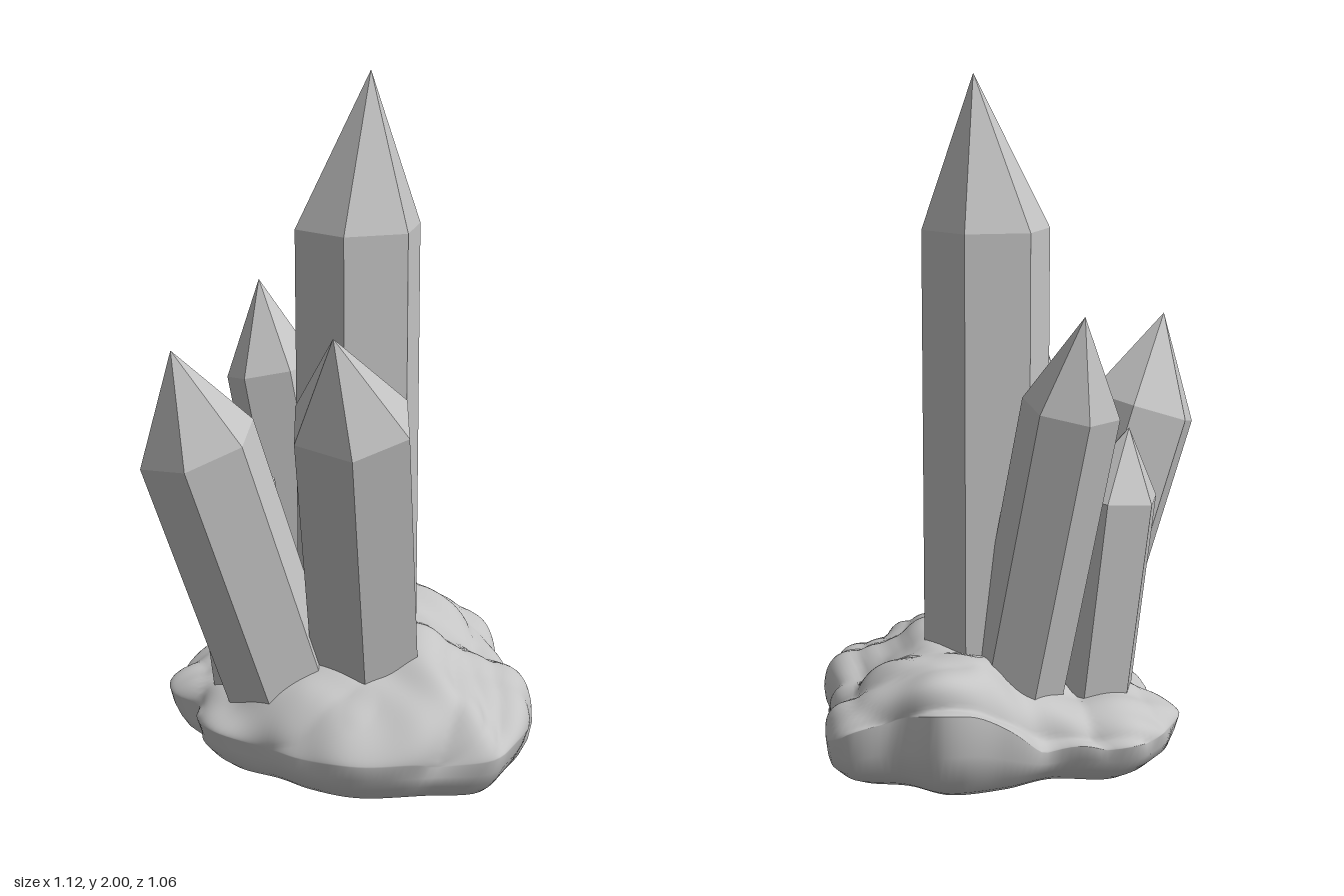
import * as THREE from 'three';

const V = (x, y, z) => new THREE.Vector3(x, y, z);
const { smoothstep, degToRad } = THREE.MathUtils;

// Six-sided crystal: base centre, shoulder centre, tip, radius, angle of first corner (degrees), base taper
function crystal(name, base, shoulder, tip, r, turn, taper, material) {
  const b = V(...base), s = V(...shoulder), t = V(...tip);
  const axis = s.clone().sub(b);
  axis.divideScalar(axis.y);
  const ring = (c, radius) => Array.from({ length: 6 }, (_, i) => {
    const a = degToRad(turn + i * 60);
    const x = radius * Math.cos(a), z = radius * Math.sin(a);
    return V(c.x + x, c.y - x * axis.x - z * axis.z, c.z + z); // square to the axis
  });
  const low = ring(b, r * taper), high = ring(s, r);
  const points = [];
  for (let i = 0; i < 6; i++) {
    const n = (i + 1) % 6;
    points.push(low[i], high[i], low[n], high[i], high[n], low[n], high[i], t, high[n]);
  }
  const geometry = new THREE.BufferGeometry().setFromPoints(points);
  geometry.computeVertexNormals();
  const mesh = new THREE.Mesh(geometry, material);
  mesh.name = name;
  return mesh;
}

// Height of the rock's upper surface: low on one side, a hump at the back and a cleft beside it
function rockHeight(x, z) {
  const hump = (px, pz, w) => Math.exp(-((x - px) ** 2 + (z - pz) ** 2) / (w * w));
  const drop = 1 - smoothstep(x, -0.32, -0.06);
  return 0.345 - 0.105 * drop + 0.07 * hump(0.03, -0.38, 0.18) + 0.04 * hump(0.18, 0.05, 0.12)
    - 0.03 * hump(0.42, 0.1, 0.15) - 0.05 * hump(0.34, -0.2, 0.1);
}

// Broad lumps with creases between them, plus finer chips
function lumps(x, y, z) {
  const a = Math.abs(Math.sin(6 * x + 5 * z + 2 * Math.sin(6 * z + 9 * y)));
  const b = Math.abs(Math.sin(7 * z - 6 * x + 12 * y + 1.5 * Math.sin(8 * x)));
  const c = Math.sin(21 * x + 9 * y + 2 * Math.sin(11 * z)) * Math.sin(19 * z + 15 * y + 2);
  return 0.5 * a + 0.4 * b + 0.2 * c - 0.57;
}

function rock(material) {
  const outline = new THREE.CatmullRomCurve3([
    [0.56, 0.08], [0.535, 0.2], [0.49, 0.35], [0.33, 0.415], [0.12, 0.49], [-0.04, 0.47],
    [-0.16, 0.42], [-0.31, 0.38], [-0.41, 0.29], [-0.45, 0.19], [-0.53, 0.15], [-0.56, 0],
    [-0.5, -0.2], [-0.31, -0.28], [-0.2, -0.42], [-0.05, -0.53], [0.1, -0.505], [0.25, -0.53],
    [0.33, -0.47], [0.38, -0.33], [0.44, -0.2], [0.53, -0.06],
  ].map(([x, z]) => V(x, 0, z)), true);
  const count = 160;
  const edge = outline.getSpacedPoints(count).slice(0, count);
  const foot = edge.map((p) => V(p.x * 0.82 + 0.02, 0.004, p.z * 0.75 + 0.03));
  const positions = [], index = [];

  // Undercut sides from foot to rim, then the domed top closing in on the middle
  const rings = [[0, 0.004], [0.3, 0.016], [0.55, 0.035], [0.8, 0.065], [0.95, 0.1], [1, 0.14]];
  const sides = rings.length, topRings = 34;
  for (let j = 1; j <= topRings; j++) rings.push([Math.cos((j / topRings) * Math.PI / 2), 0.14]);
  rings.forEach(([f, y0], j) => edge.forEach((p, i) => {
    const top = j >= sides;
    const q = top ? p.clone().multiplyScalar(f) : foot[i].clone().lerp(p, f);
    const back = smoothstep(-p.z, 0.3, 0.5) * smoothstep(-p.x, -0.4, 0);
    q.y = y0 + 0.15 * back * Math.min(1, j / (sides - 1)) ** 4; // rim rises at the back
    if (top) q.y += (rockHeight(q.x, q.z) - q.y) * Math.pow(1 - f ** 3, 0.7);
    const n = lumps(q.x, q.y, q.z) * Math.min(1, j / 3);
    const push = 1 + 0.07 * n * f;
    positions.push(q.x * push, q.y + 0.035 * n * Math.min(1, q.y / 0.15), q.z * push);
  }));
  for (let j = 0; j < rings.length - 1; j++) {
    for (let i = 0; i < count; i++) {
      const a = j * count + i, b = j * count + (i + 1) % count;
      index.push(a, a + count, b, b, a + count, b + count);
    }
  }
  const geometry = new THREE.BufferGeometry();
  geometry.setAttribute('position', new THREE.Float32BufferAttribute(positions, 3));
  geometry.setIndex(index);
  geometry.computeVertexNormals();
  const body = new THREE.Mesh(geometry, material);
  body.name = 'rockBody';

  // Flat underside
  const shape = new THREE.Shape(foot.map((p) => new THREE.Vector2(p.x, p.z)));
  const under = new THREE.Mesh(new THREE.ShapeGeometry(shape).rotateX(Math.PI / 2), material);
  under.position.y = 0.004;
  under.name = 'rockUnderside';

  const group = new THREE.Group();
  group.name = 'rockBase';
  group.add(body, under);
  group.position.y = -0.004;
  return group;
}

export function createModel() {
  const stone = new THREE.MeshStandardMaterial({ color: 0xc4c4c4 });
  stone.name = 'grey stone';

  const model = new THREE.Group();
  model.name = 'crystalCluster';
  model.add(
    rock(stone),
    crystal('tallCrystal', [0.008, 0.1, -0.018], [0.008, 1.565, -0.018], [0.04, 2, -0.035], 0.187, 88, 1, stone),
    crystal('frontCrystal', [0.05, 0.1, 0.025], [0.083, 1.095, 0.348], [0.07, 1.36, 0.49], 0.178, 75, 1, stone),
    crystal('frontRightCrystal', [-0.14, 0.1, 0.155], [-0.355, 1.005, 0.362], [-0.4, 1.285, 0.43], 0.165, 83, 0.97, stone),
    crystal('backRightCrystal', [-0.09, 0.1, -0.1], [-0.297, 1.09, -0.163], [-0.35, 1.355, -0.21], 0.137, 110, 1, stone),
    crystal('smallCrystal', [-0.272, 0.08, 0.085], [-0.345, 0.79, 0.1], [-0.38, 0.985, 0.135], 0.138, 80, 0.97, stone),
  );
  return model;
}
